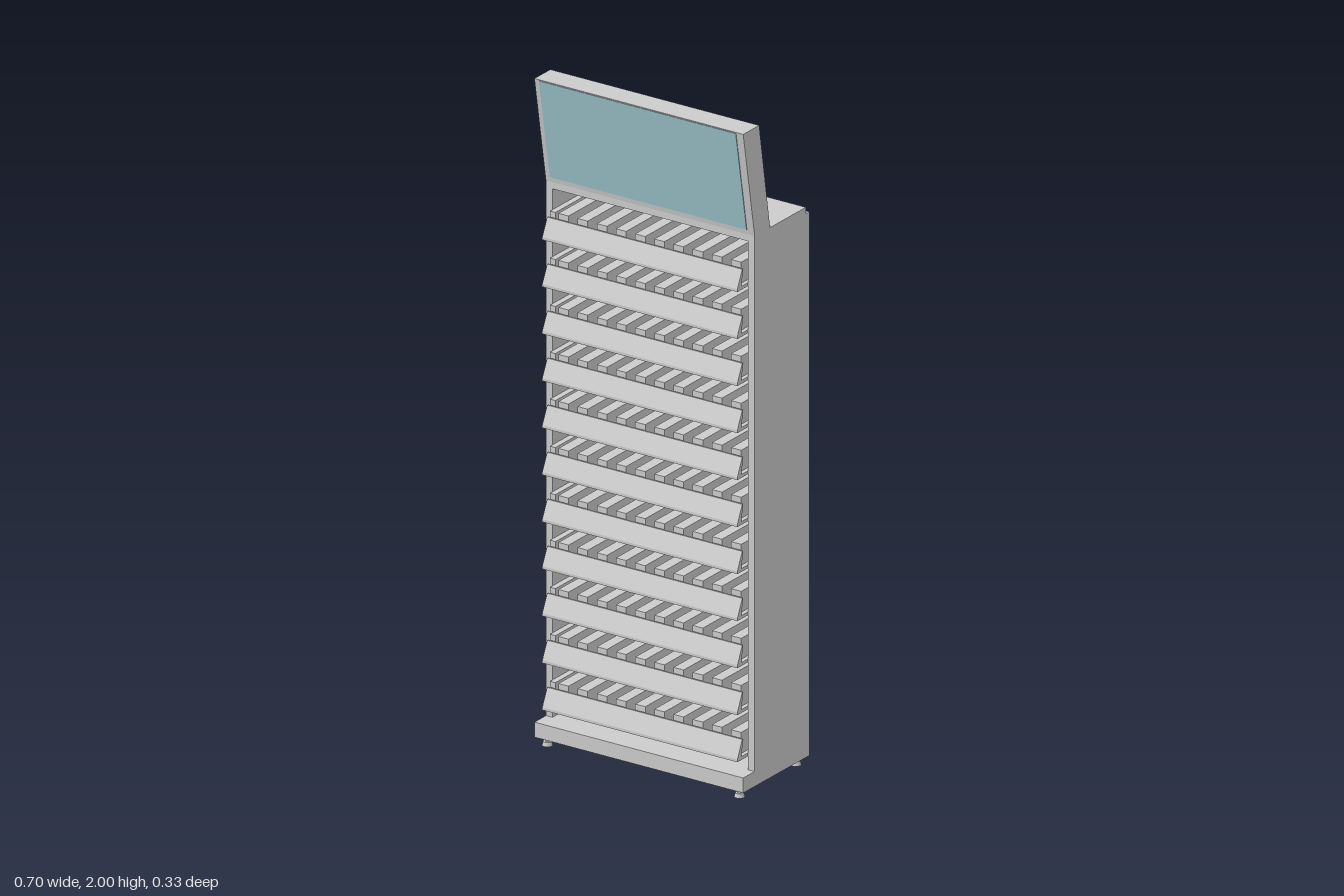
import * as THREE from 'three';

const grey = new THREE.MeshStandardMaterial({ color: 0xcccccc });
const teal = new THREE.MeshStandardMaterial({ color: 0x9cc4cc });

// Box given by its low and high limits on each axis
function box(name, [x0, x1], [y0, y1], [z0, z1], material = grey) {
  const mesh = new THREE.Mesh(new THREE.BoxGeometry(x1 - x0, y1 - y0, z1 - z0), material);
  mesh.name = name;
  mesh.position.set((x0 + x1) / 2, (y0 + y1) / 2, (z0 + z1) / 2);
  return mesh;
}

// Side profile of [z, y] points, extruded along x from x0 to x1
function profile(name, points, x0, x1, material = grey) {
  const shape = new THREE.Shape(points.map(([z, y]) => new THREE.Vector2(-z, y)));
  const geometry = new THREE.ExtrudeGeometry(shape, { depth: x1 - x0, bevelEnabled: false });
  geometry.rotateY(Math.PI / 2).translate(x0, 0, 0);
  const mesh = new THREE.Mesh(geometry, material);
  mesh.name = name;
  return mesh;
}

// One shelf: board, sloping price rail and a row of product tracks
function createShelf() {
  const shelf = new THREE.Group();
  shelf.name = 'shelf';
  shelf.add(box('shelfBoard', [-0.327, 0.327], [0, 0.01], [-0.145, 0.14]));
  shelf.add(profile('priceRail', [
    [0.135, 0], [0.156, 0], [0.156, 0.008], [0.132, 0.06], [0.127, 0.06], [0.137, 0.01],
  ], -0.327, 0.327));
  shelf.add(box('edgeTrack', [-0.327, -0.309], [0.01, 0.073], [-0.145, 0.118]));
  for (let i = 0; i < 10; i++) {
    const x = -0.282 + i * 0.0643;
    shelf.add(box('productTrack', [x - 0.017, x + 0.017], [0.01, 0.073], [-0.145, 0.118]));
  }
  return shelf;
}

export function createModel() {
  const model = new THREE.Group();
  model.name = 'displayCabinet';

  // Cabinet shell
  model.add(box('base', [-0.35, 0.35], [0.025, 0.07], [-0.15, 0.161]));
  model.add(box('backPanel', [-0.33, 0.33], [0.07, 1.655], [-0.152, -0.14]));
  model.add(box('topPanel', [-0.35, 0.35], [1.655, 1.675], [-0.145, 0.105]));
  for (const s of [-1, 1]) {
    const xs = [s * 0.35, s * 0.328].sort((a, b) => a - b);
    model.add(box('sidePanel', xs, [0.07, 1.655], [-0.163, 0.105]));
    model.add(box('baseBackCorner', xs, [0.025, 0.07], [-0.163, -0.15]));
  }

  // Leaning header with its coloured face
  model.add(profile('header', [[0.105, 1.675], [0.03, 1.675], [0.083, 2], [0.161, 2]], -0.35, 0.35));
  const faceZ = (y) => 0.105 + (y - 1.675) * (0.056 / 0.325);
  model.add(profile('headerFace', [
    [faceZ(1.69), 1.69], [faceZ(1.997), 1.997],
    [faceZ(1.997) + 0.002, 1.997], [faceZ(1.69) + 0.002, 1.69],
  ].reverse(), -0.334, 0.326, teal));

  // Shelves
  for (let i = 0; i < 11; i++) {
    const shelf = createShelf();
    shelf.position.y = 0.11 + i * 0.141;
    model.add(shelf);
  }

  // Levelling feet
  for (const x of [-0.322, 0.322]) {
    for (const z of [-0.137, 0.138]) {
      const foot = new THREE.Group();
      foot.name = 'foot';
      const pad = new THREE.Mesh(new THREE.CylinderGeometry(0.012, 0.015, 0.012, 20), grey);
      pad.name = 'footPad';
      pad.position.y = 0.006;
      const stem = new THREE.Mesh(new THREE.CylinderGeometry(0.006, 0.006, 0.016, 12), grey);
      stem.name = 'footStem';
      stem.position.y = 0.019;
      foot.add(pad, stem);
      foot.position.set(x, 0, z);
      model.add(foot);
    }
  }
  return model;
}
